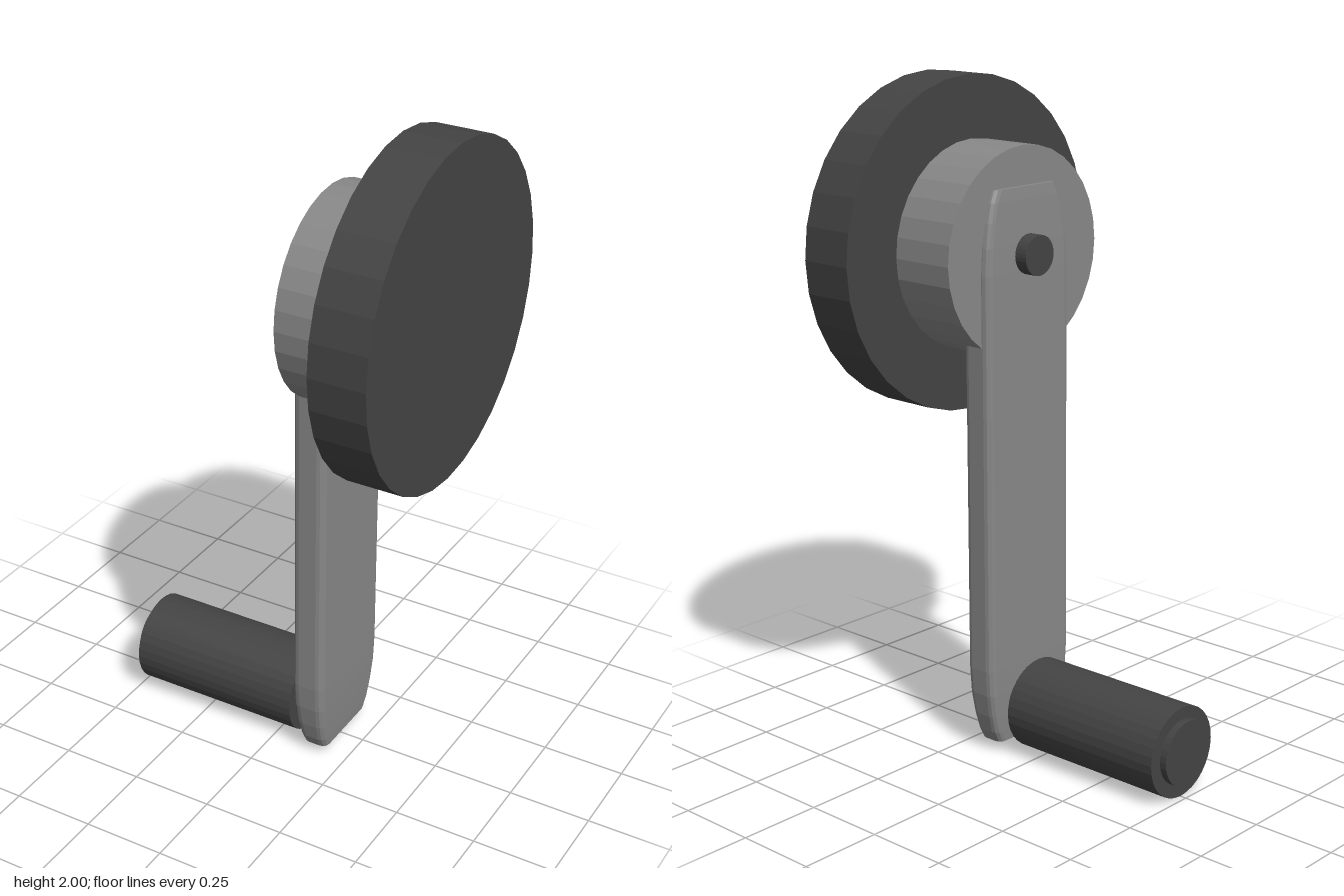
import * as THREE from 'three';

const grey = new THREE.MeshStandardMaterial({ color: 0x888888, flatShading: true });
const dark = new THREE.MeshStandardMaterial({ color: 0x444444, flatShading: true });

// Cylinder lying along x, from x0 to x1
function rod(name, x0, x1, radius, y, z, material) {
  const geometry = new THREE.CylinderGeometry(radius, radius, x1 - x0, 32);
  geometry.rotateZ(-Math.PI / 2);
  const mesh = new THREE.Mesh(geometry, material);
  mesh.name = name;
  mesh.position.set((x0 + x1) / 2, y, z);
  return mesh;
}

// Flat bar lofted from rounded rectangles, tapering at both ends
function armGeometry() {
  const bottom = 0.03, top = 1.7;
  // distance from the end, half width, half thickness
  const taper = [
    [0, 0.125, 0.04], [0.035, 0.142, 0.043], [0.09, 0.157, 0.046],
    [0.16, 0.169, 0.049], [0.24, 0.174, 0.05],
  ];
  const rings = [
    ...taper.map(([d, w, t]) => [bottom + d, w, t]),
    ...taper.map(([d, w, t]) => [top - d, w, t]).reverse(),
  ];
  const corner = 0.022, steps = 3;
  const positions = [], index = [];
  for (const [y, w, t] of rings) {
    for (let q = 0; q < 4; q++) {
      const sx = q === 0 || q === 3 ? 1 : -1;
      const sz = q < 2 ? 1 : -1;
      for (let s = 0; s <= steps; s++) {
        const a = (q + s / steps) * Math.PI / 2;
        positions.push(
          sx * (t - corner) + corner * Math.cos(a), y,
          sz * (w - corner) + corner * Math.sin(a));
      }
    }
  }
  const n = 4 * (steps + 1), last = (rings.length - 1) * n;
  for (let i = 0; i < rings.length - 1; i++) {
    for (let j = 0; j < n; j++) {
      const a = i * n + j, b = i * n + (j + 1) % n;
      index.push(a, a + n, b, b, a + n, b + n);
    }
  }
  // End caps
  for (let j = 1; j < n - 1; j++) {
    index.push(0, j, j + 1, last, last + j + 1, last + j);
  }
  const geometry = new THREE.BufferGeometry();
  geometry.setAttribute('position', new THREE.Float32BufferAttribute(positions, 3));
  geometry.setIndex(index);
  geometry.computeVertexNormals();
  return geometry;
}

export function createModel() {
  const group = new THREE.Group();
  group.name = 'crankHandle';

  // Wheel, hub and the pin holding the arm
  const axleY = 1.506;
  group.add(
    rod('wheel', 0.33, 0.5, 0.495, axleY, 0, dark),
    rod('hub', 0.125, 0.33, 0.309, axleY, 0.004, grey),
    rod('axlePin', 0.06, 0.13, 0.059, axleY, 0, dark));

  // Crank arm
  const arm = new THREE.Mesh(armGeometry(), grey);
  arm.name = 'crankArm';
  arm.position.x = 0.15;
  group.add(arm);

  // Grip on its spindle
  group.add(
    rod('grip', -0.48, 0.07, 0.137, 0.137, 0.002, dark),
    rod('gripSpindle', -0.502, 0.14, 0.098, 0.139, 0.002, dark));

  return group;
}
